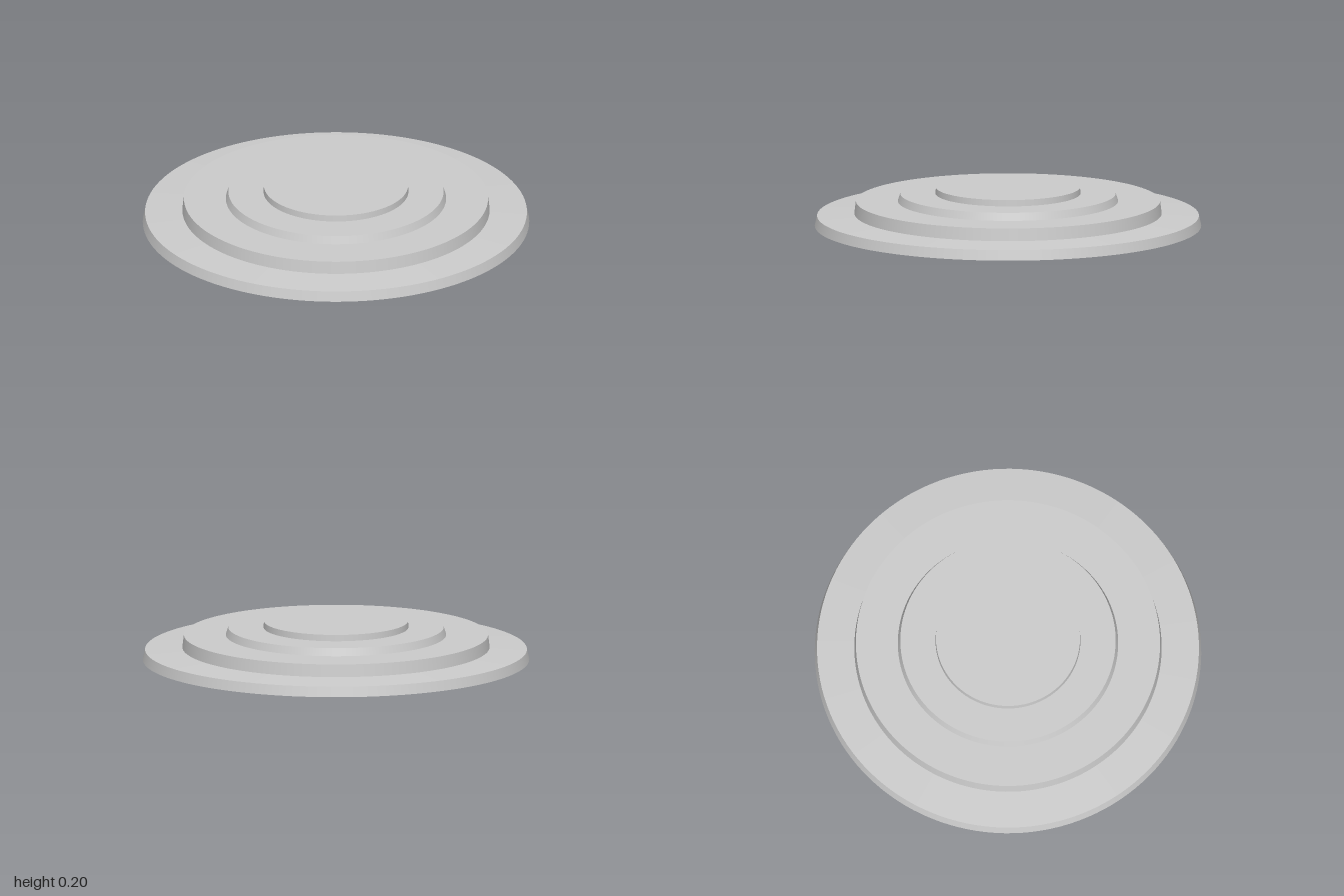
import * as THREE from 'three';

const SEGMENTS = 128;
const material = new THREE.MeshStandardMaterial({ color: 0xcccccc, side: THREE.DoubleSide });

// One straight stretch of the turned profile; separate stretches keep the step edges sharp
function ring(name, from, to) {
  const points = [new THREE.Vector2(...from), new THREE.Vector2(...to)];
  const mesh = new THREE.Mesh(new THREE.LatheGeometry(points, SEGMENTS), material);
  mesh.name = name;
  return mesh;
}

export function createModel() {
  const model = new THREE.Group();
  model.name = 'steppedDisc';

  // Each tier of the hollow shell: wall foot and wall top as [radius, height]
  const tiers = [
    { name: 'baseTier', foot: [1, 0], top: [0.988, 0.053] },
    { name: 'lowerTier', foot: [0.795, 0.065], top: [0.787, 0.13] },
    { name: 'middleTier', foot: [0.57, 0.13], top: [0.557, 0.17] },
    { name: 'topTier', foot: [0.375, 0.17], top: [0.373, 0.203] },
  ];

  tiers.forEach(({ name, foot, top }, i) => {
    const tier = new THREE.Group();
    tier.name = name;
    // The tread runs in to the next wall; the last one closes at the centre
    const inner = i + 1 < tiers.length ? tiers[i + 1].foot : [0, top[1]];
    tier.add(ring('wall', foot, top), ring('tread', top, inner));
    model.add(tier);
  });

  return model;
}
